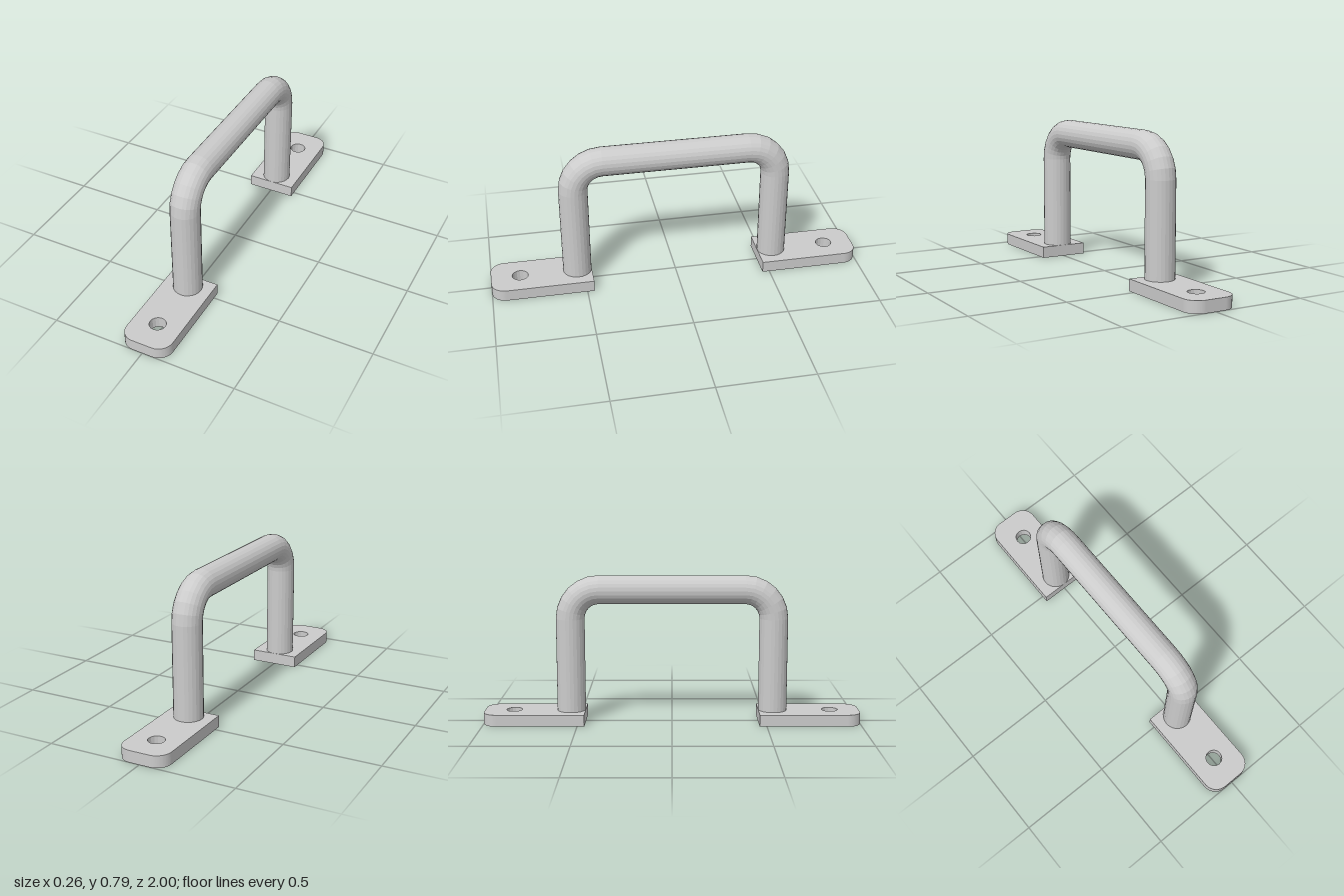
import * as THREE from 'three';

const BAR_R = 0.076, LEG_Z = 0.538, BAR_Y = 0.709, BEND_R = 0.152;
const PLATE_W = 0.26, PLATE_H = 0.062, PLATE_IN = 0.462, PLATE_OUT = 1;

// Round bar swept up one leg, over the grip and down the other leg
function handleGeometry(sides = 24, bendSteps = 6) {
  const cz = LEG_Z - BEND_R, cy = BAR_Y - BEND_R;
  const stations = [[LEG_Z, 0.03, 0]];
  for (const side of [0, 1]) {
    for (let i = 0; i <= bendSteps; i++) {
      const phi = (side + i / bendSteps) * Math.PI / 2;
      const z = (side ? -cz : cz) + BEND_R * Math.cos(phi);
      stations.push([z, cy + BEND_R * Math.sin(phi), phi]);
    }
  }
  stations.push([-LEG_Z, 0.03, Math.PI]);

  const positions = [], indices = [];
  stations.forEach(([z, y, phi], i) => {
    for (let j = 0; j < sides; j++) {
      const a = (j / sides) * Math.PI * 2;
      const out = BAR_R * Math.cos(a);
      positions.push(BAR_R * Math.sin(a), y + out * Math.sin(phi), z + out * Math.cos(phi));
      if (i === stations.length - 1) continue;
      const k = (j + 1) % sides, p = i * sides, q = p + sides;
      indices.push(p + j, p + k, q + j, p + k, q + k, q + j);
    }
  });
  const geo = new THREE.BufferGeometry();
  geo.setAttribute('position', new THREE.Float32BufferAttribute(positions, 3));
  geo.setIndex(indices);
  geo.computeVertexNormals();
  return geo;
}

// Foot plate: square inner end, rounded outer corners, screw hole
function plateGeometry() {
  const w = PLATE_W / 2, r = 0.075;
  const s = new THREE.Shape();
  s.moveTo(-w, PLATE_IN);
  s.lineTo(w, PLATE_IN);
  s.lineTo(w, PLATE_OUT - r);
  s.absarc(w - r, PLATE_OUT - r, r, 0, Math.PI / 2, false);
  s.lineTo(-w + r, PLATE_OUT);
  s.absarc(-w + r, PLATE_OUT - r, r, Math.PI / 2, Math.PI, false);
  s.lineTo(-w, PLATE_IN);
  const hole = new THREE.Path();
  hole.absarc(0, 0.845, 0.043, 0, Math.PI * 2, true);
  s.holes.push(hole);
  const geo = new THREE.ExtrudeGeometry(s, { depth: PLATE_H, bevelEnabled: false, curveSegments: 8 });
  // Lay flat: the outline's y becomes z, the thickness rises from the ground
  geo.rotateX(Math.PI / 2);
  geo.translate(0, PLATE_H, 0);
  return geo;
}

export function createModel() {
  const group = new THREE.Group();
  group.name = 'pullHandle';
  const material = new THREE.MeshStandardMaterial({ color: 0xcccccc, flatShading: true });

  const handle = new THREE.Mesh(handleGeometry(), material);
  handle.name = 'handleBar';
  group.add(handle);

  // Matching plates under the two legs
  const plate = plateGeometry();
  for (const [name, turn] of [['frontPlate', 0], ['backPlate', Math.PI]]) {
    const mesh = new THREE.Mesh(plate, material);
    mesh.name = name;
    mesh.rotation.y = turn;
    group.add(mesh);
  }
  return group;
}
